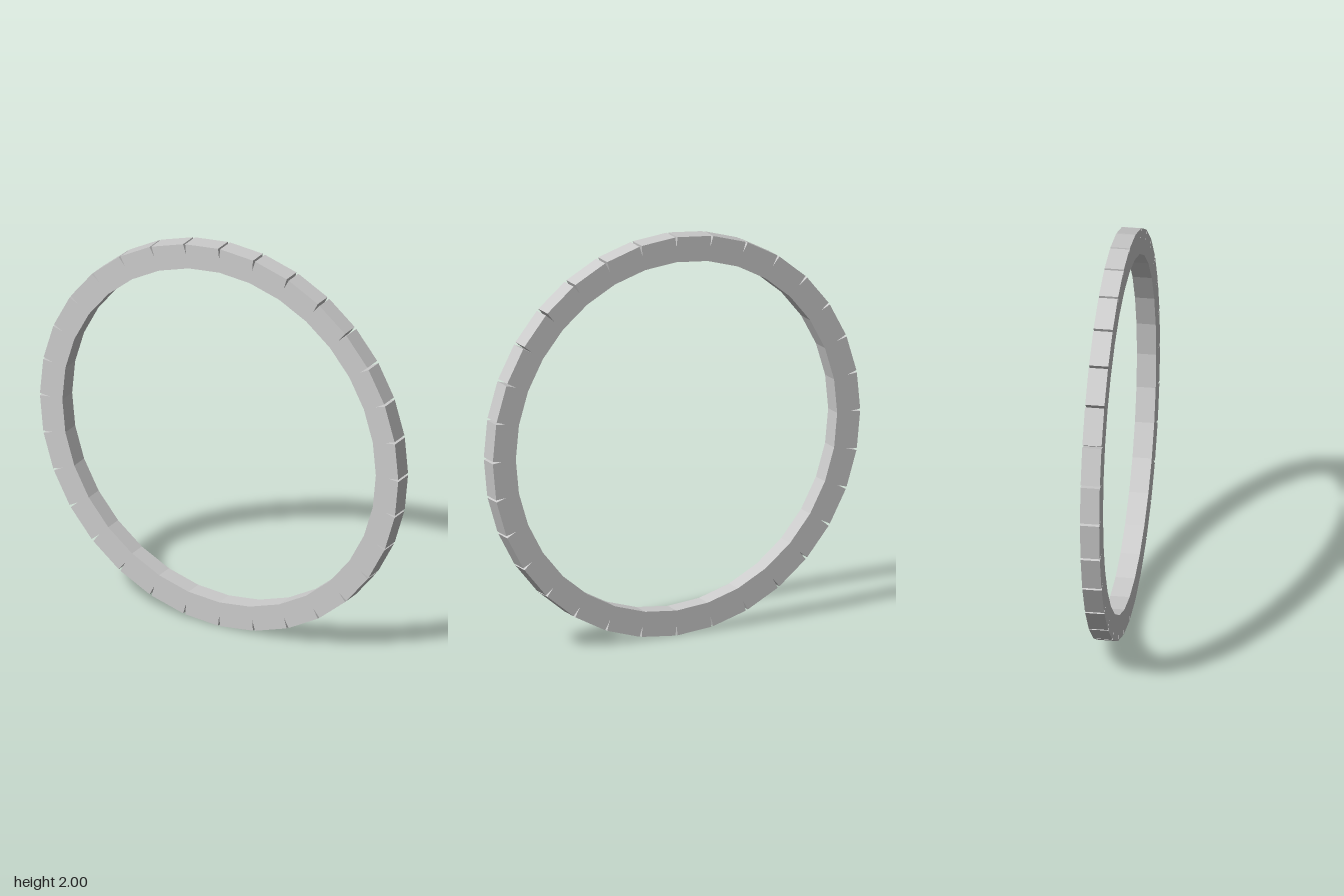
import * as THREE from 'three';

const SEGMENTS = 32;
const OUTER = 1;
const INNER = 0.875;
const NOTCH_BOTTOM = 0.945;
const NOTCH_HALF_ANGLE = 0.006;
const DEPTH = 0.094;

const polar = (r, a) => new THREE.Vector2(r * Math.cos(a), r * Math.sin(a));

export function createModel() {
  const group = new THREE.Group();
  group.name = 'notchedRing';

  // Faceted outline with a narrow V notch at every corner, and a faceted bore
  const outline = [];
  const bore = [];
  for (let i = 0; i < SEGMENTS; i++) {
    const a = (i / SEGMENTS) * Math.PI * 2;
    outline.push(
      polar(OUTER, a - NOTCH_HALF_ANGLE),
      polar(NOTCH_BOTTOM, a),
      polar(OUTER, a + NOTCH_HALF_ANGLE)
    );
    bore.push(polar(INNER, a));
  }
  // The bore runs clockwise, against the outline, so its wall faces the centre
  const shape = new THREE.Shape(outline);
  shape.holes.push(new THREE.Path(bore.reverse()));

  // Flat band, centred in depth and standing on the ground
  const geometry = new THREE.ExtrudeGeometry(shape, { depth: DEPTH, bevelEnabled: false });
  geometry.translate(0, OUTER, -DEPTH / 2);
  const ring = new THREE.Mesh(
    geometry,
    new THREE.MeshStandardMaterial({ color: 0xcccccc, flatShading: true })
  );
  ring.name = 'ring';
  group.add(ring);
  return group;
}
